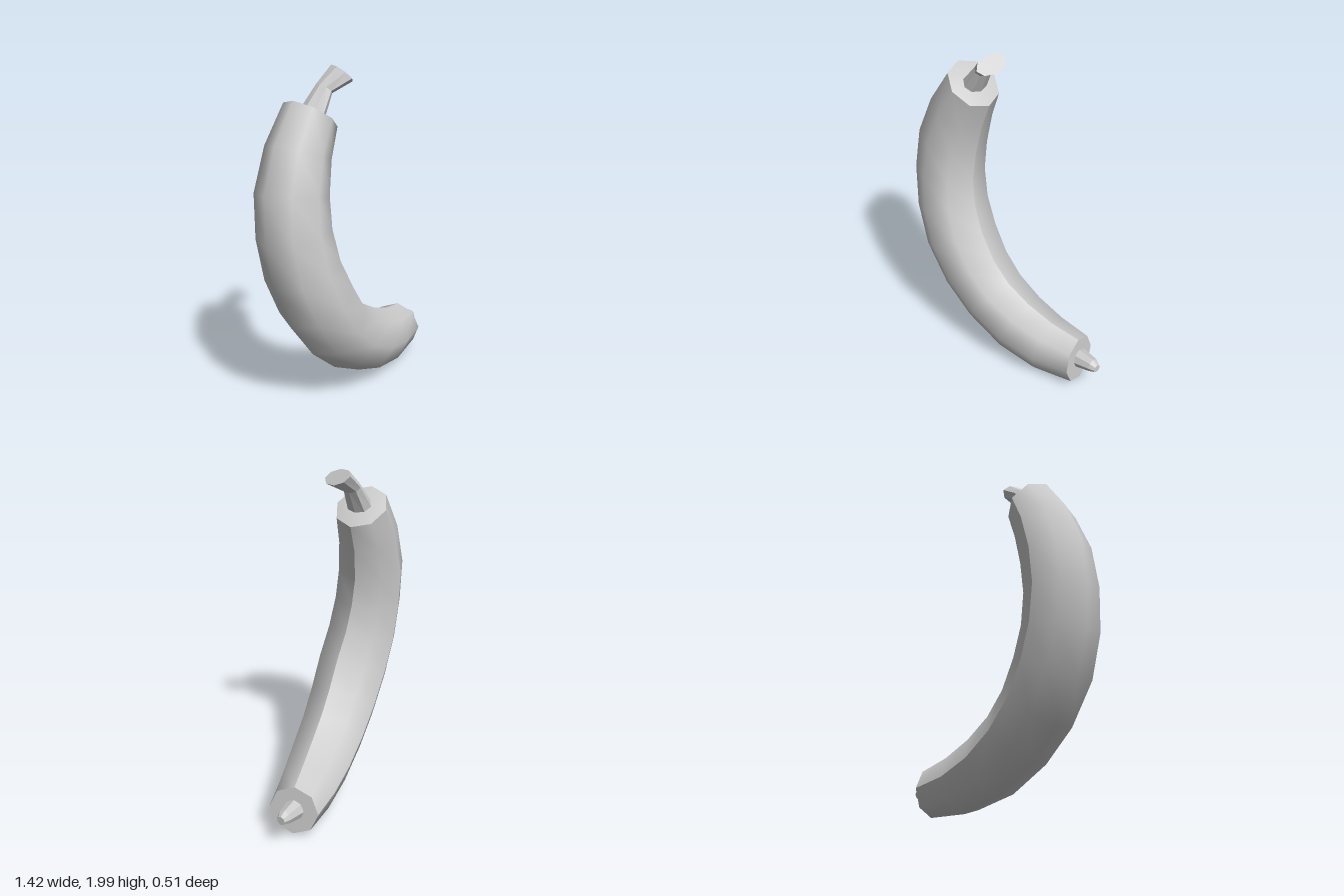
import * as THREE from 'three';

const SIDES = 8;

// Lofts octagonal rings { c: centre, u: half axis, w: half width across }.
// Normals are smooth along each strip of columns and sharp between strips.
function loft(rings, strips, startBulge = 0, endBulge = 0) {
  const pos = [], idx = [];
  const add = (p) => pos.push(p.x, p.y, p.z) / 3 - 1;
  const frames = rings.map((r, i) => {
    const t = rings[Math.min(i + 1, rings.length - 1)].c.clone()
      .sub(rings[Math.max(i - 1, 0)].c).normalize();
    const v = t.clone().cross(r.u).normalize().multiplyScalar(r.w);
    return { ...r, t, v };
  });
  const point = (f, k) => {
    const a = (k / SIDES) * Math.PI * 2;
    return f.c.clone().addScaledVector(f.u, Math.cos(a)).addScaledVector(f.v, Math.sin(a));
  };

  // sides
  for (const [from, to] of strips) {
    const base = pos.length / 3, n = to - from + 1;
    for (const f of frames) for (let k = from; k <= to; k++) add(point(f, k));
    for (let i = 0; i < frames.length - 1; i++) {
      for (let k = 0; k < n - 1; k++) {
        const a = base + i * n + k, b = a + 1, c = a + n, d = c + 1;
        idx.push(a, b, c, b, d, c);
      }
    }
  }

  // end caps, slightly domed where a bulge is given
  const cap = (f, bulge, flip) => {
    const mid = add(f.c.clone().addScaledVector(f.t, bulge));
    for (let k = 0; k < SIDES; k++) add(point(f, k));
    for (let k = 0; k < SIDES; k++) {
      const a = mid + 1 + k, b = mid + 1 + ((k + 1) % SIDES);
      idx.push(mid, ...(flip ? [b, a] : [a, b]));
    }
  };
  cap(frames[0], -startBulge, true);
  cap(frames[frames.length - 1], endBulge, false);

  const g = new THREE.BufferGeometry();
  g.setAttribute('position', new THREE.Float32BufferAttribute(pos, 3));
  g.setIndex(idx);
  g.computeVertexNormals();
  return g;
}

export function createModel() {
  const group = new THREE.Group();
  const smooth = new THREE.MeshStandardMaterial({ color: 0xcccccc });
  const faceted = new THREE.MeshStandardMaterial({ color: 0xcccccc, flatShading: true });
  const part = (name, geometry, material) => {
    const mesh = new THREE.Mesh(geometry, material);
    mesh.name = name;
    group.add(mesh);
  };
  const allSides = Array.from({ length: SIDES }, (_, k) => [k, k + 1]);

  // curved fruit body: outer x, y, inner x, y, front z, back z
  const sections = [
    [-0.44, 1.85, -0.18, 1.66, 0.11, -0.21],
    [-0.59, 1.63, -0.24, 1.50, 0.14, -0.23],
    [-0.69, 1.38, -0.28, 1.31, 0.175, -0.235],
    [-0.71, 1.11, -0.285, 1.14, 0.205, -0.22],
    [-0.67, 0.84, -0.25, 0.97, 0.235, -0.21],
    [-0.57, 0.59, -0.17, 0.81, 0.255, -0.20],
    [-0.40, 0.36, -0.07, 0.65, 0.245, -0.195],
    [-0.20, 0.19, 0.05, 0.53, 0.22, -0.20],
    [0.05, 0.06, 0.20, 0.44, 0.18, -0.215],
    [0.31, 0.01, 0.37, 0.37, 0.12, -0.235],
    [0.575, 0.03, 0.55, 0.325, 0.04, -0.255],
  ];
  const bodyRings = sections.map(([ox, oy, ix, iy, zf, zb]) => ({
    c: new THREE.Vector3((ox + ix) / 2, (oy + iy) / 2, (zf + zb) / 2),
    u: new THREE.Vector3((ix - ox) / 2, (iy - oy) / 2, 0),
    w: (zf - zb) / 2,
  }));
  // ridges run along the inner curve and the back
  part('fruitBody', loft(bodyRings, [[0, 6], [6, 8]], 0.04, 0), smooth);

  // bent stem, flared at its cut end
  const stemRings = [
    [-0.30, 1.755, -0.045, 0.047, -0.047, 0.08],
    [-0.21, 1.885, -0.04, 0.032, -0.027, 0.06],
    [-0.105, 1.96, -0.005, 0.04, -0.04, 0.095],
  ].map(([x, y, z, ux, uy, w]) => ({
    c: new THREE.Vector3(x, y, z), u: new THREE.Vector3(ux, uy, 0), w,
  }));
  part('stem', loft(stemRings, allSides), faceted);

  // small tapered tip at the lower end
  const tipRings = [
    [0.56, 0.185, -0.11, 0.062],
    [0.67, 0.195, -0.115, 0.043],
    [0.705, 0.192, -0.113, 0.026],
  ].map(([x, y, z, r]) => ({
    c: new THREE.Vector3(x, y, z), u: new THREE.Vector3(0, r, 0), w: r,
  }));
  part('blossomTip', loft(tipRings, allSides), faceted);

  return group;
}
